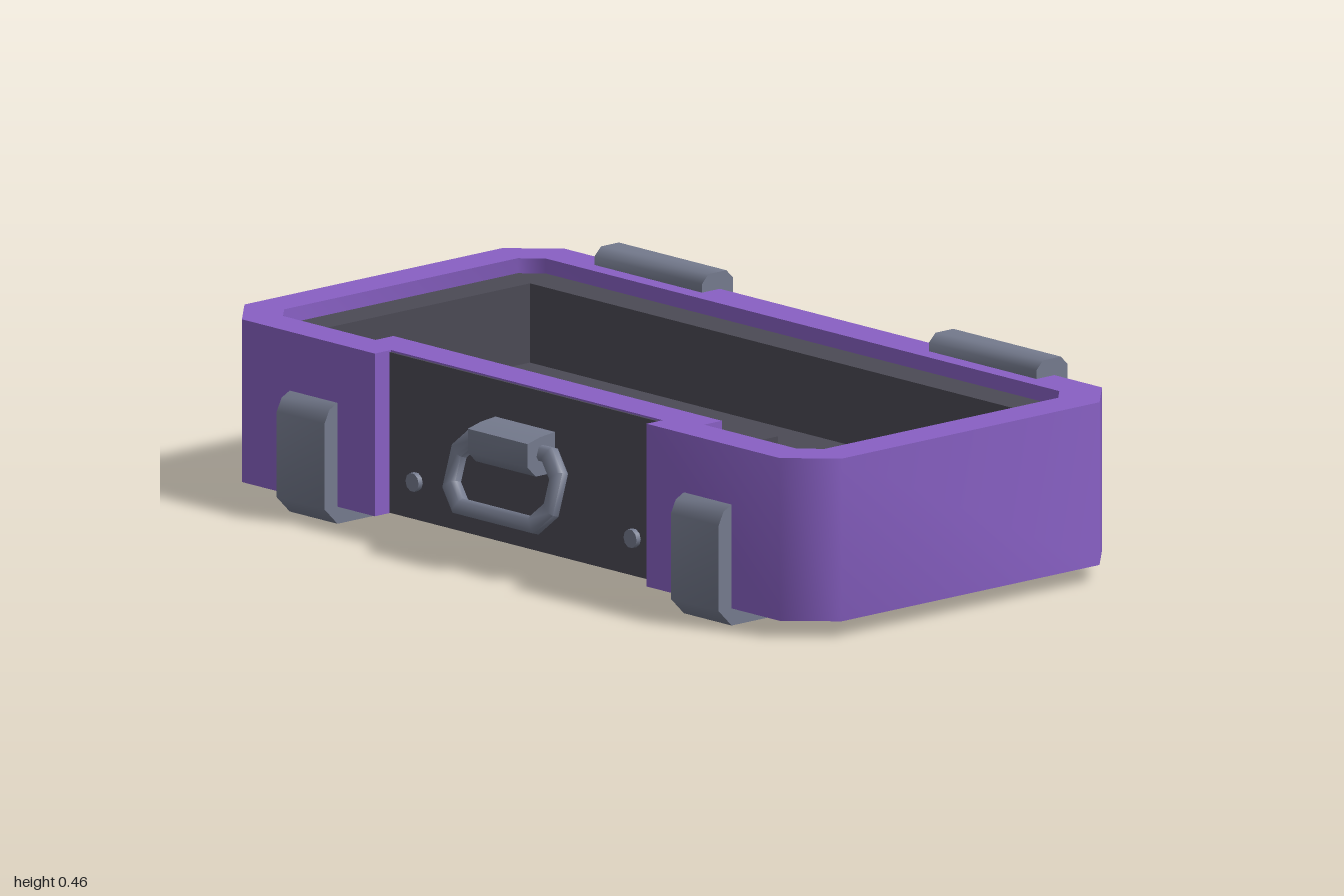
import * as THREE from 'three';
import { toCreasedNormals } from 'three/addons/utils/BufferGeometryUtils.js';

const mat = (name, color) => {
  const m = new THREE.MeshStandardMaterial({ color });
  m.name = name;
  return m;
};

// Polygon from [x, y] points
const poly = (pts, Type = THREE.Shape) => new Type(pts.map(([x, y]) => new THREE.Vector2(x, y)));

// Chamfered rectangle, with an optional step cut into its left side
function plan(x0, x1, z, c, step) {
  const pts = [];
  const corner = (a, b) => (c ? pts.push(a, b) : pts.push([(a[0] === x0 || b[0] === x0) ? x0 : x1, Math.sign(a[1]) * z]));
  corner([x0 + c, -z], [x0 + c, -z]); pts.length = 0;
  if (c) pts.push([x0, -z + c], [x0 + c, -z], [x1 - c, -z], [x1, -z + c], [x1, z - c], [x1 - c, z], [x0 + c, z], [x0, z - c]);
  else pts.push([x0, -z], [x1, -z], [x1, z], [x0, z]);
  if (step) pts.push([x0, step.z], [step.x, step.z], [step.x, -step.z], [x0, -step.z]);
  return pts;
}

// Extrusion with soft chamfers and sharp right angles
function extrude(shape, depth, bevel = 0) {
  const g = new THREE.ExtrudeGeometry(shape, {
    depth, bevelEnabled: bevel > 0, bevelSize: bevel, bevelThickness: bevel, bevelOffset: -bevel, bevelSegments: 1,
  });
  return toCreasedNormals(g, 1);
}

export function createModel() {
  const model = new THREE.Group();
  const purple = mat('purple shell', 0x8860c4);
  const dark = mat('dark lining', 0x4b4a55);
  const steel = mat('grey fittings', 0x757b8e);

  const add = (name, geometry, material, parent = model) => {
    const mesh = new THREE.Mesh(geometry, material);
    mesh.name = name;
    parent.add(mesh);
    return mesh;
  };
  // Horizontal layer between two heights
  const layer = (name, outer, hole, y0, y1, material) => {
    const shape = poly(outer);
    if (hole) shape.holes.push(poly(hole, THREE.Path));
    const g = extrude(shape, y1 - y0).rotateX(-Math.PI / 2).translate(0, y0, 0);
    return add(name, g, material);
  };
  // Bar with an x-y profile running along z
  const bar = (name, pts, z, length) =>
    add(name, extrude(poly(pts), length).translate(0, 0, z - length / 2), steel);

  // Tray: shell, underside, lining and floor
  const outer = plan(-0.49, 0.505, 1, 0.1, { x: -0.44, z: 0.455 });
  const recess = plan(-0.4, 0.41, 0.905, 0.045, { x: -0.345, z: 0.55 });
  const cavity = plan(-0.305, 0.32, 0.815, 0, { x: -0.255, z: 0.64 });
  layer('shell', outer, recess, 0.04, 0.42, purple);
  layer('underside', recess, null, 0.04, 0.05, purple);
  layer('lining', recess, cavity, 0.2, 0.385, dark);
  layer('floor', recess, null, 0.19, 0.2, dark);

  // Dark plate in the side notch
  add('sidePanel', new THREE.BoxGeometry(0.006, 0.375, 0.908).translate(-0.442, 0.2285, 0), dark);

  for (const s of [-1, 1]) {
    // Hinge barrels on the long edge
    bar('hinge', [[0.45, 0.4], [0.47, 0.38], [0.525, 0.38], [0.545, 0.4], [0.545, 0.44],
      [0.525, 0.46], [0.47, 0.46], [0.45, 0.44]], s * 0.56, 0.36);
    // Feet wrapping up the opposite side
    bar('foot', [[-0.31, 0.045], [-0.355, 0], [-0.49, 0], [-0.53, 0.04], [-0.53, 0.24],
      [-0.515, 0.27], [-0.485, 0.285], [-0.485, 0.045]].reverse(), s * 0.66, 0.16);
    // Small studs on the panel
    add('stud', new THREE.CylinderGeometry(0.022, 0.022, 0.02, 10).rotateZ(Math.PI / 2)
      .translate(-0.448, 0.13, s * 0.365), steel);
  }

  // Bracket holding the pull ring
  bar('ringBracket', [[-0.44, 0.33], [-0.49, 0.325], [-0.53, 0.315], [-0.53, 0.26],
    [-0.505, 0.235], [-0.44, 0.235]], 0, 0.2);

  // Pull ring, leaning outward at the bottom
  const ringShape = poly(plan(-0.185, 0.185, 0.1, 0.05));
  ringShape.holes.push(poly(plan(-0.148, 0.148, 0.063, 0.035), THREE.Path));
  const ring = add('pullRing', extrude(ringShape, 0.018, 0.008).translate(0, 0, -0.009).rotateY(Math.PI / 2), steel);
  ring.position.set(-0.507, 0.208, 0);
  ring.rotation.z = -0.3;

  return model;
}
